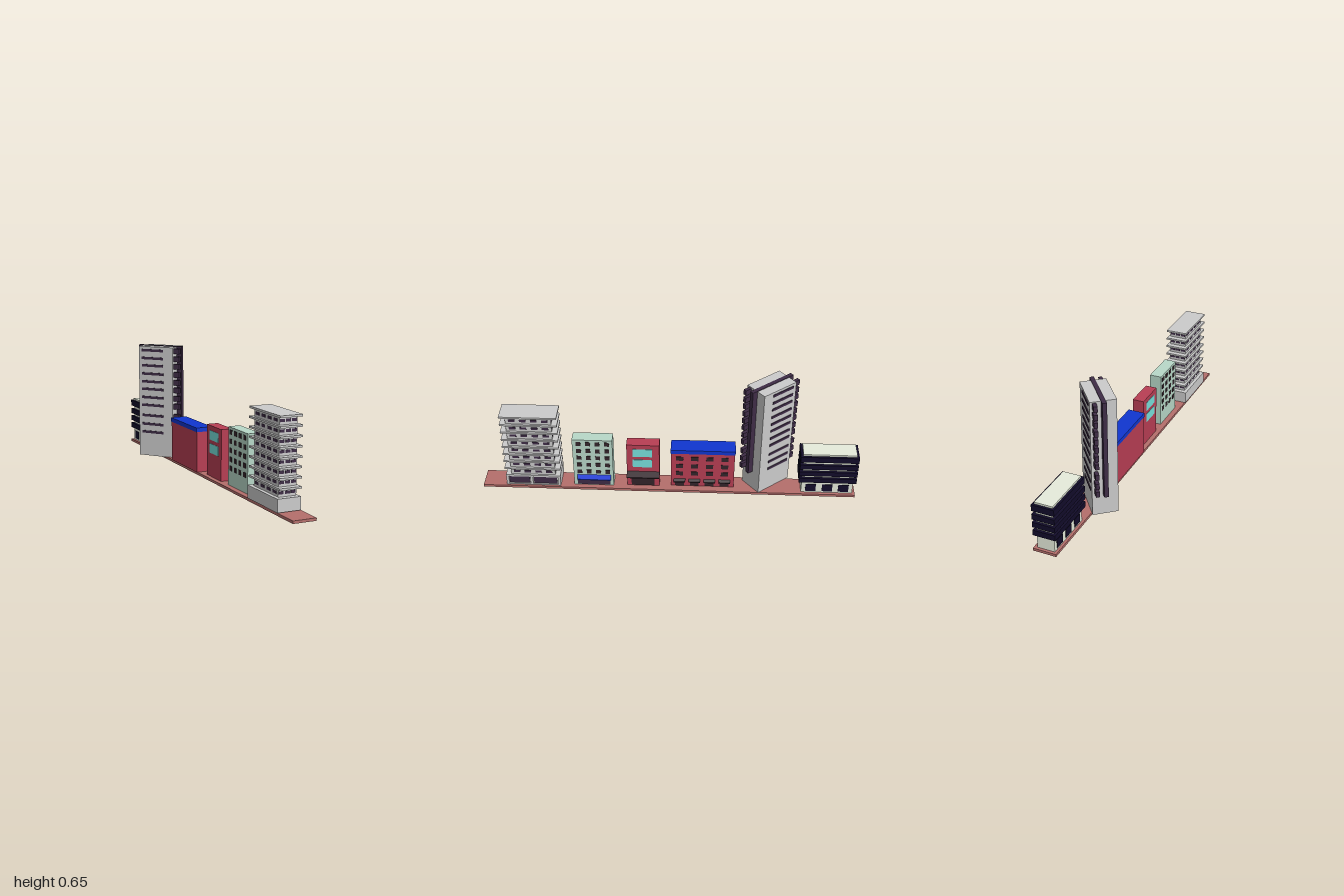
import * as THREE from 'three';

const mats = {};
const mat = (c) => (mats[c] ??= new THREE.MeshStandardMaterial({ color: c }));
const GREY = 0xcccccc, BRICK = 0xb56f6c, RED = 0xb83e54, BLUE = 0x1036d0, MINT = 0xb8d8c8;
const PLUM = 0x3e2c46, DARK = 0x33242a, NAVY = 0x120c2a, CYAN = 0x78e0dc, CREAM = 0xe6ecdc;

// Box given by its limits on each axis
function box(parent, name, color, [x0, x1], [y0, y1], [z0, z1]) {
  const m = new THREE.Mesh(new THREE.BoxGeometry(x1 - x0, y1 - y0, z1 - z0), mat(color));
  m.position.set((x0 + x1) / 2, (y0 + y1) / 2, (z0 + z1) / 2);
  m.name = name;
  parent.add(m);
  return m;
}
const around = (c, size) => [c - size / 2, c + size / 2];

function group(parent, name) {
  const g = new THREE.Group();
  g.name = name;
  parent.add(g);
  return g;
}

// Sloping shop awning: thin profile in x/y, extruded along z
function awning(parent, color, x0, x1, yIn, yOut, t, [z0, z1]) {
  const s = new THREE.Shape([
    new THREE.Vector2(x0, yIn - t), new THREE.Vector2(x1, yOut - t),
    new THREE.Vector2(x1, yOut), new THREE.Vector2(x0, yIn)]);
  const m = new THREE.Mesh(new THREE.ExtrudeGeometry(s, { depth: z1 - z0, bevelEnabled: false }), mat(color));
  m.position.z = z0;
  m.name = 'awning';
  parent.add(m);
}

// Apartment block with projecting floor slabs
function slabBlock(root) {
  const g = group(root, 'slabBlock');
  box(g, 'base', GREY, [-0.014, 0.1], [0.018, 0.083], [0.58, 0.873]);
  box(g, 'core', GREY, [0.005, 0.1], [0.08, 0.462], [0.607, 0.845]);
  // shop front with frame
  box(g, 'shopLintel', GREY, [0.1, 0.11], [0.072, 0.083], [0.58, 0.873]);
  box(g, 'shopSill', GREY, [0.1, 0.11], [0.018, 0.025], [0.58, 0.873]);
  for (const z of [0.587, 0.736, 0.866]) box(g, 'shopPost', GREY, [0.1, 0.11], [0.025, 0.072], around(z, 0.014));
  for (const z of [[0.6, 0.725], [0.748, 0.858]]) box(g, 'shopWindow', PLUM, [0.1, 0.104], [0.025, 0.072], z);
  for (let i = 0; i < 8; i++) {
    const y = 0.126 + i * 0.048, wy = around(y - 0.023, 0.014);
    box(g, 'floorSlab', GREY, [-0.007, 0.11], around(y, 0.01), [0.577, 0.877]);
    for (const x of [0.02, 0.052, 0.083]) box(g, 'endWindow', PLUM, around(x, 0.025), wy, [0.605, 0.847]);
    for (const z of [0.64, 0.697, 0.755, 0.812]) box(g, 'sideWindow', PLUM, [0.003, 0.102], wy, around(z, 0.034));
  }
}

// Small office with a grid of square windows
function mintBlock(root) {
  const g = group(root, 'mintBlock');
  box(g, 'body', MINT, [0.024, 0.09], [0.014, 0.316], [0.295, 0.508]);
  for (let r = 0; r < 5; r++)
    for (let c = 0; c < 4; c++)
      box(g, 'window', DARK, [0.022, 0.092], around(0.105 + r * 0.0465, 0.025), around(0.325 + c * 0.05, 0.025));
  box(g, 'shopWindow', PLUM, [0.08, 0.092], [0.018, 0.066], [0.313, 0.49]);
  awning(g, BLUE, 0.09, 0.116, 0.083, 0.07, 0.005, [0.308, 0.488]);
}

// Narrow red house with two large panes
function redHouse(root) {
  const g = group(root, 'redHouse');
  box(g, 'body', RED, [0.02, 0.083], [0.014, 0.286], [0.048, 0.222]);
  for (const y of [0.165, 0.235]) box(g, 'largePane', CYAN, [0.018, 0.085], around(y, 0.05), [0.086, 0.19]);
  box(g, 'shopFront', DARK, [0.08, 0.085], [0.016, 0.088], [0.075, 0.198]);
  awning(g, DARK, 0.083, 0.116, 0.11, 0.093, 0.006, [0.046, 0.222]);
}

// Long red block with a blue roof
function blueRoofBlock(root) {
  const g = group(root, 'blueRoofBlock');
  box(g, 'body', RED, [-0.01, 0.077], [0.014, 0.235], [-0.352, -0.014]);
  box(g, 'roof', BLUE, [-0.012, 0.079], [0.233, 0.256], [-0.355, -0.012]);
  for (let c = 0; c < 4; c++) {
    const z = -0.06 - c * 0.08;
    for (const y of [0.2, 0.15, 0.1]) box(g, 'window', DARK, [0.07, 0.079], around(y, 0.026), around(z, 0.038));
    box(g, 'door', DARK, [0.07, 0.079], [0.016, 0.045], around(z, 0.048));
    awning(g, DARK, 0.077, 0.088, 0.062, 0.05, 0.006, around(z, 0.062));
  }
}

// Turned high-rise: local x runs across it, local z along it
function tower(root) {
  const g = group(root, 'tower');
  const W = 0.131 / 2, L = 0.214 / 2;
  g.position.set(-0.0015, 0, -0.524);
  g.rotation.y = Math.atan2(0.636, 0.771);
  box(g, 'body', GREY, [-W, W], [0.012, 0.643], [-L, L]);
  // central dark fin over both ends and the roof
  box(g, 'fin', PLUM, [-0.011, 0.011], [0.125, 0.646], [-L - 0.03, L + 0.03]);
  for (const y of [0.622, 0.577, 0.535, 0.488, 0.443, 0.4, 0.352, 0.307, 0.247, 0.197, 0.151]) {
    box(g, 'stripWindow', PLUM, [-W - 0.004, W + 0.004], around(y, 0.014), [-L + 0.02, L - 0.058]);
    box(g, 'frontBalcony', PLUM, [-W + 0.012, -W + 0.031], around(y, 0.03), [L - 0.01, L + 0.036]);
    box(g, 'backBalcony', PLUM, [W - 0.031, W - 0.012], around(y, 0.03), [-L - 0.036, -L + 0.01]);
  }
}

// Office with dark bands wrapped around it
function bandedBlock(root) {
  const g = group(root, 'bandedBlock');
  box(g, 'core', CREAM, [0.008, 0.1], [0.014, 0.262], [-0.985, -0.712]);
  box(g, 'roof', CREAM, [0.006, 0.102], [0.26, 0.271], [-0.988, -0.708]);
  for (const y of [[0.09, 0.119], [0.135, 0.163], [0.179, 0.208], [0.227, 0.261]])
    box(g, 'band', NAVY, [-0.006, 0.113], y, [-1, -0.695]);
  for (const z of [-0.762, -0.85, -0.936]) box(g, 'door', NAVY, [0.005, 0.103], [0.024, 0.07], around(z, 0.055));
}

export function createModel() {
  const root = new THREE.Group();
  root.name = 'streetBlock';
  box(root, 'pavement', BRICK, [-0.006, 0.117], [0, 0.014], [-1, 1]);
  slabBlock(root);
  mintBlock(root);
  redHouse(root);
  blueRoofBlock(root);
  tower(root);
  bandedBlock(root);
  return root;
}
